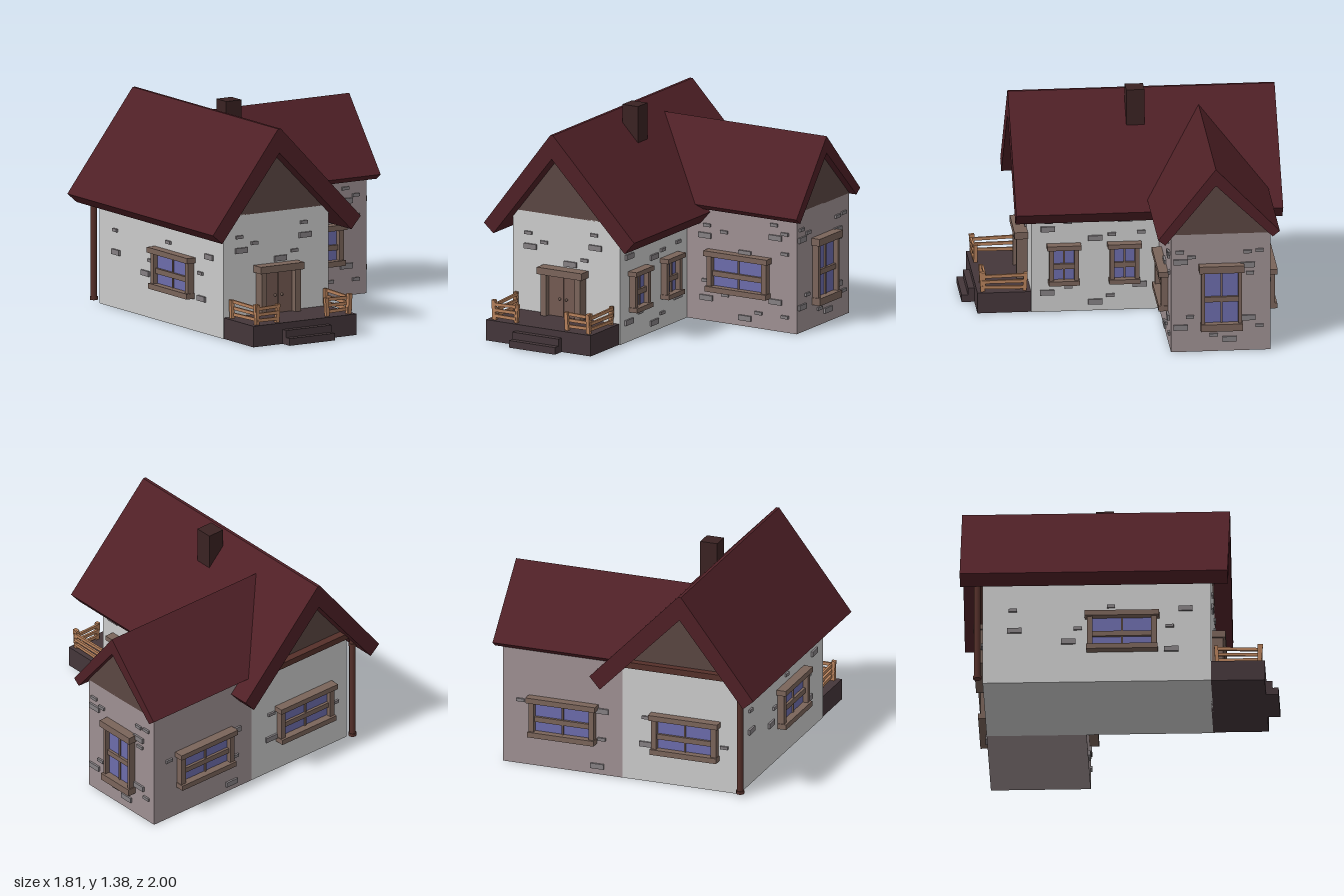
import * as THREE from 'three';

const mats = {};
const mat = (color) => (mats[color] ??= new THREE.MeshStandardMaterial({ color }));
const WALL = 0xcccccc, WING = 0x9e9092, ROOF = 0x4f2026, GABLE = 0x5a4642, TRIM = 0x7a645a, GLASS = 0x6c6cab,
  STONE = 0x44363a, WOOD = 0xb8825c, DOOR = 0x735a52, PIPE = 0x55302a, BRICK = 0x858083, CHIMNEY = 0x3a2222;

function add(parent, name, geometry, color) {
  const mesh = new THREE.Mesh(geometry, mat(color));
  mesh.name = name;
  parent.add(mesh);
  return mesh;
}

// Box given by its minimum and maximum on each axis
function box(parent, name, color, x0, x1, y0, y1, z0, z1) {
  const m = add(parent, name, new THREE.BoxGeometry(x1 - x0, y1 - y0, z1 - z0), color);
  m.position.set((x0 + x1) / 2, (y0 + y1) / 2, (z0 + z1) / 2);
  return m;
}

// Outline extruded from a to b along z
function prism(points, a, b) {
  const shape = new THREE.Shape(points.map(([x, y]) => new THREE.Vector2(x, y)));
  return new THREE.ExtrudeGeometry(shape, { depth: b - a, bevelEnabled: false }).translate(0, 0, a);
}

// Group whose local x runs along a wall and whose local z points outwards
function face(parent, name, x, z, turn) {
  const g = new THREE.Group();
  g.name = name;
  g.position.set(x, 0, z);
  g.rotation.y = turn * Math.PI / 2;
  parent.add(g);
  return g;
}

// Window with lintel, sill, jambs, cross bar and mullion
function window_(wall, c, w, y0, y1, barY, lintel = 0.035, jamb = 0.035) {
  const g = new THREE.Group(), h = w / 2, top = y1 - lintel, bottom = y0 + lintel;
  g.name = 'window';
  g.position.x = c;
  wall.add(g);
  box(g, 'glass', GLASS, -h + 0.03, h - 0.03, bottom, top, -0.01, 0.012);
  box(g, 'lintel', TRIM, -h, h, top, y1, -0.01, 0.062);
  box(g, 'sill', TRIM, -h + 0.01, h - 0.01, y0, bottom, -0.01, 0.06);
  for (const s of [-1, 1]) {
    const e = s * (h - 0.015), i = e - s * jamb;
    box(g, 'jamb', TRIM, Math.min(e, i), Math.max(e, i), bottom, top, -0.01, 0.045);
  }
  box(g, 'crossBar', TRIM, -h + 0.02, h - 0.02, barY - 0.017, barY + 0.017, -0.01, 0.03);
  box(g, 'mullion', TRIM, -0.006, 0.006, bottom, top, -0.01, 0.022);
}

// Raised bricks: [along, height, 1 for a large one]
function bricks(wall, list) {
  for (const [u, y, big] of list) {
    const w = big ? 0.045 : 0.026, h = big ? 0.017 : 0.01;
    box(wall, 'brick', BRICK, u - w, u + w, y - h, y + h, -0.01, 0.013);
  }
}

// Fence between two floor points
function railing(parent, x0, z0, x1, z1) {
  const g = new THREE.Group(), len = Math.hypot(x1 - x0, z1 - z0);
  g.name = 'railing';
  g.position.set(x0, 0.135, z0);
  g.rotation.y = Math.atan2(z0 - z1, x1 - x0);
  parent.add(g);
  [0, len].forEach((u, i) => {
    const post = box(g, 'railingPost', WOOD, u - 0.012, u + 0.012, 0, i ? 0.118 : 0.13, -0.012, 0.012);
    post.rotation.z = i ? -0.06 : 0.08;
  });
  [0.027, 0.065, 0.103].forEach((y, i) => {
    box(g, 'rail', WOOD, 0, len, y - 0.01, y + 0.01, 0.004, 0.018).rotation.z = (i - 1) * 0.02;
  });
}

export function createModel() {
  const house = new THREE.Group();
  house.name = 'house';

  // Walls and gables
  box(house, 'mainWalls', WALL, -0.76, 0.03, 0, 0.785, -0.86, 0.58);
  box(house, 'wingWalls', WING, 0.03, 0.84, 0, 0.785, -0.86, -0.23);
  add(house, 'mainGable', prism([[-0.735, 0.78], [-0.01, 0.78], [-0.41, 1.2]], -0.86, 0.58), GABLE);
  add(house, 'wingGable', prism([[0.225, 0.78], [0.875, 0.78], [0.51, 1.15]], -0.1, 0.84), GABLE).rotation.y = Math.PI / 2;

  // Main roof, steeper on one side
  add(house, 'mainRoof', prism([[-0.84, 0.635], [-0.41, 1.175], [0.13, 0.63], [0.2, 0.71],
    [-0.4, 1.33], [-0.42, 1.33], [-0.91, 0.695]], -1, 0.69), ROOF);

  // Wing roof, its inner end cut to the slope of the main roof
  const wingRoof = prism([[0.19, 0.735], [0.51, 1.125], [0.87, 0.775], [0.915, 0.81], [0.51, 1.235], [0.145, 0.77]], 0, 0.89);
  const p = wingRoof.attributes.position;
  for (let i = 0; i < p.count; i++) {
    if (p.getZ(i) < 0.1) p.setZ(i, -0.42 + (1.33 - p.getY(i)) / 1.033);
  }
  wingRoof.computeVertexNormals();
  add(house, 'wingRoof', wingRoof, ROOF).rotation.y = Math.PI / 2;

  box(house, 'chimney', CHIMNEY, -0.335, -0.22, 1.08, 1.38, -0.16, -0.045);

  // Porch, steps and railings
  box(house, 'porch', STONE, -0.755, 0.02, 0, 0.135, 0.57, 0.92);
  box(house, 'upperStep', STONE, -0.535, -0.195, 0, 0.092, 0.9, 0.96);
  box(house, 'lowerStep', STONE, -0.535, -0.195, 0, 0.046, 0.9, 1);
  railing(house, -0.71, 0.885, -0.55, 0.88);
  railing(house, -0.71, 0.89, -0.72, 0.615);
  railing(house, -0.015, 0.88, -0.18, 0.88);
  railing(house, -0.015, 0.89, -0.015, 0.615);

  // Front wall with double door
  const front = face(house, 'frontWall', 0, 0.58, 0);
  const door = new THREE.Group();
  door.name = 'door';
  door.position.x = -0.37;
  front.add(door);
  box(door, 'doorLintel', TRIM, -0.165, 0.165, 0.405, 0.45, -0.01, 0.085);
  for (const s of [-1, 1]) {
    box(door, 'doorPost', TRIM, s * 0.127 - 0.02, s * 0.127 + 0.02, 0.135, 0.41, -0.01, 0.07);
    box(door, 'doorLeaf', DOOR, s * 0.055 - 0.053, s * 0.055 + 0.053, 0.135, 0.41, -0.01, 0.03);
    add(door, 'doorKnob', new THREE.SphereGeometry(0.009, 10, 8), TRIM).position.set(s * 0.025, 0.25, 0.036);
  }
  bricks(front, [[-0.645, 0.642], [-0.63, 0.555, 1], [-0.53, 0.594], [-0.16, 0.69], [-0.15, 0.608, 1],
    [-0.23, 0.516], [-0.335, 0.477, 1]]);

  // Main side wall beside the wing
  const side = face(house, 'mainSideWall', 0.03, 0, 1);
  for (const c of [-0.375, 0.008]) window_(side, c, 0.215, 0.19, 0.457, 0.31, 0.03, 0.028);
  bricks(side, [[-0.47, 0.604], [-0.475, 0.555, 1], [-0.35, 0.6], [0.015, 0.61, 1], [-0.175, 0.487, 1], [-0.07, 0.51],
    [0.115, 0.52], [-0.48, 0.13, 1], [-0.345, 0.165], [-0.175, 0.06, 1], [-0.08, 0.1], [0.105, 0.17, 1]]);

  // Wing front
  const wingFront = face(house, 'wingFrontWall', 0, -0.23, 0);
  window_(wingFront, 0.42, 0.47, 0.205, 0.47, 0.322);
  bricks(wingFront, [[0.18, 0.623], [0.165, 0.555, 1], [0.305, 0.594], [0.675, 0.69], [0.685, 0.608, 1], [0.755, 0.64],
    [0.755, 0.51], [0.46, 0.477, 1], [0.17, 0.262], [0.175, 0.15, 1], [0.315, 0.185], [0.46, 0.055, 1],
    [0.56, 0.1], [0.685, 0.19, 1], [0.755, 0.1]]);

  // Wing end
  const wingEnd = face(house, 'wingEndWall', 0.84, 0, 1);
  window_(wingEnd, 0.548, 0.285, 0.15, 0.587, 0.355, 0.047, 0.022);
  bricks(wingEnd, [[0.285, 0.67], [0.29, 0.604, 1], [0.36, 0.635], [0.715, 0.663], [0.79, 0.67], [0.715, 0.575, 1],
    [0.73, 0.52], [0.29, 0.165, 1], [0.35, 0.235], [0.72, 0.22, 1], [0.79, 0.165], [0.6, 0.08, 1], [0.5, 0.11]]);

  // Back of both parts
  const back = face(house, 'backWall', 0, -0.86, 2);
  window_(back, -0.43, 0.47, 0.205, 0.47, 0.322);
  window_(back, 0.4, 0.47, 0.205, 0.47, 0.322);
  bricks(back, [[-0.72, 0.43], [-0.17, 0.24], [-0.2, 0.055, 1], [-0.17, 0.43, 1],
    [0.13, 0.43], [0.13, 0.25, 1], [0.66, 0.3]]);

  // Long outer wall
  const outer = face(house, 'outerWall', -0.76, 0, -1);
  window_(outer, 0.02, 0.47, 0.205, 0.47, 0.322);
  bricks(outer, [[-0.66, 0.36, 1], [-0.67, 0.5], [-0.32, 0.28, 1], [-0.26, 0.37], [0.42, 0.5, 1],
    [0.32, 0.38], [-0.05, 0.52], [0.33, 0.22, 1]]);

  // Gutter beam and downpipe at the back corner
  box(house, 'gutter', PIPE, -0.79, 0.04, 0.765, 0.805, -0.91, -0.86);
  add(house, 'downpipe', new THREE.CylinderGeometry(0.021, 0.021, 0.77, 10), PIPE).position.set(-0.78, 0.405, -0.893);
  for (const y of [0.03, 0.7]) {
    add(house, 'pipeCollar', new THREE.CylinderGeometry(0.026, 0.026, 0.02, 10), PIPE).position.set(-0.78, y, -0.893);
  }
  return house;
}
